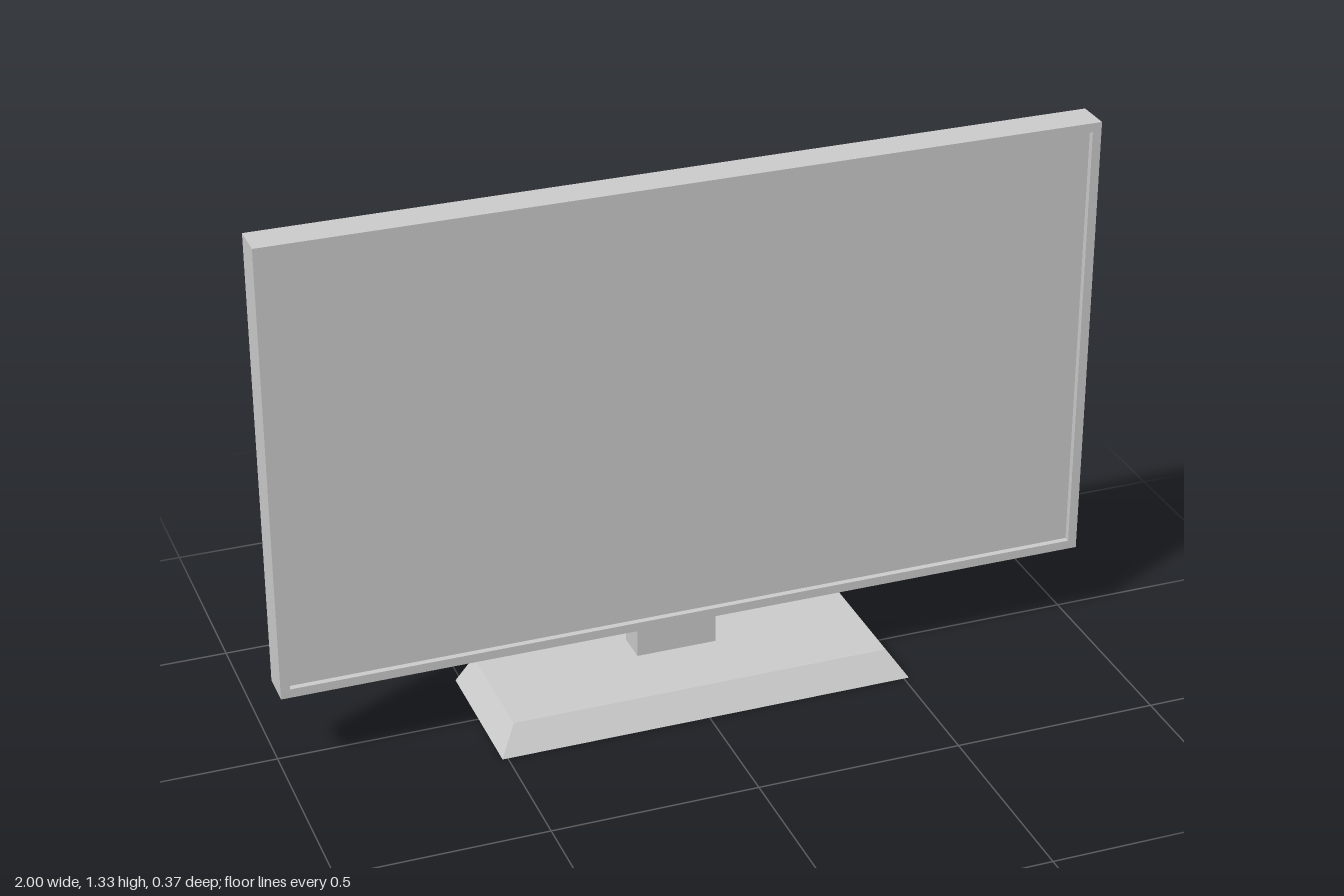
import * as THREE from 'three';

const material = new THREE.MeshStandardMaterial({ color: 0xcccccc, flatShading: true });

function part(name, geometry, x = 0, y = 0, z = 0) {
  const mesh = new THREE.Mesh(geometry, material);
  mesh.name = name;
  mesh.position.set(x, y, z);
  return mesh;
}

const rectangle = (w, h) => [[-w, -h], [w, -h], [w, h], [-w, h]].map(([x, y]) => new THREE.Vector2(x, y));

export function createModel() {
  const model = new THREE.Group();
  model.name = 'monitor';

  const bottom = 0.207, top = 1.329;
  const height = top - bottom, middle = (top + bottom) / 2;
  const back = -0.01, front = 0.077, recess = 0.015, rim = 0.022;

  // Screen: a flat panel with a thin raised bezel around its front
  const panelDepth = front - recess - back;
  model.add(part('screenPanel', new THREE.BoxGeometry(2, height, panelDepth), 0, middle, back + panelDepth / 2));
  const frame = new THREE.Shape(rectangle(1, height / 2));
  frame.holes.push(new THREE.Path(rectangle(1 - rim, height / 2 - rim)));
  const bezel = new THREE.ExtrudeGeometry(frame, { depth: recess, bevelEnabled: false });
  model.add(part('bezel', bezel, 0, middle, front - recess));

  // Stand: side profile in (z, y) with a chamfered neck reaching the panel
  const profile = [[-0.04, 0.063], [-0.04, 0.6], [-0.01, 0.6], [-0.01, 0.693],
    [-0.065, 0.693], [-0.12, 0.638], [-0.12, 0.063]];
  const stand = new THREE.ExtrudeGeometry(
    new THREE.Shape(profile.map(([z, y]) => new THREE.Vector2(z, y))),
    { depth: 0.2, bevelEnabled: false }
  );
  stand.rotateY(-Math.PI / 2);
  model.add(part('stand', stand, 0.1));

  // Foot: a slab whose upper face is drawn in, more at the front than the back
  const foot = new THREE.BoxGeometry(1.026, 0.063, 0.37);
  const corners = foot.attributes.position;
  for (let i = 0; i < corners.count; i++) {
    if (corners.getY(i) < 0) continue;
    corners.setX(i, Math.sign(corners.getX(i)) * 0.47);
    corners.setZ(i, corners.getZ(i) > 0 ? 0.14 : -0.172);
  }
  foot.computeVertexNormals();
  model.add(part('foot', foot, 0, 0.0315, 0));

  return model;
}
